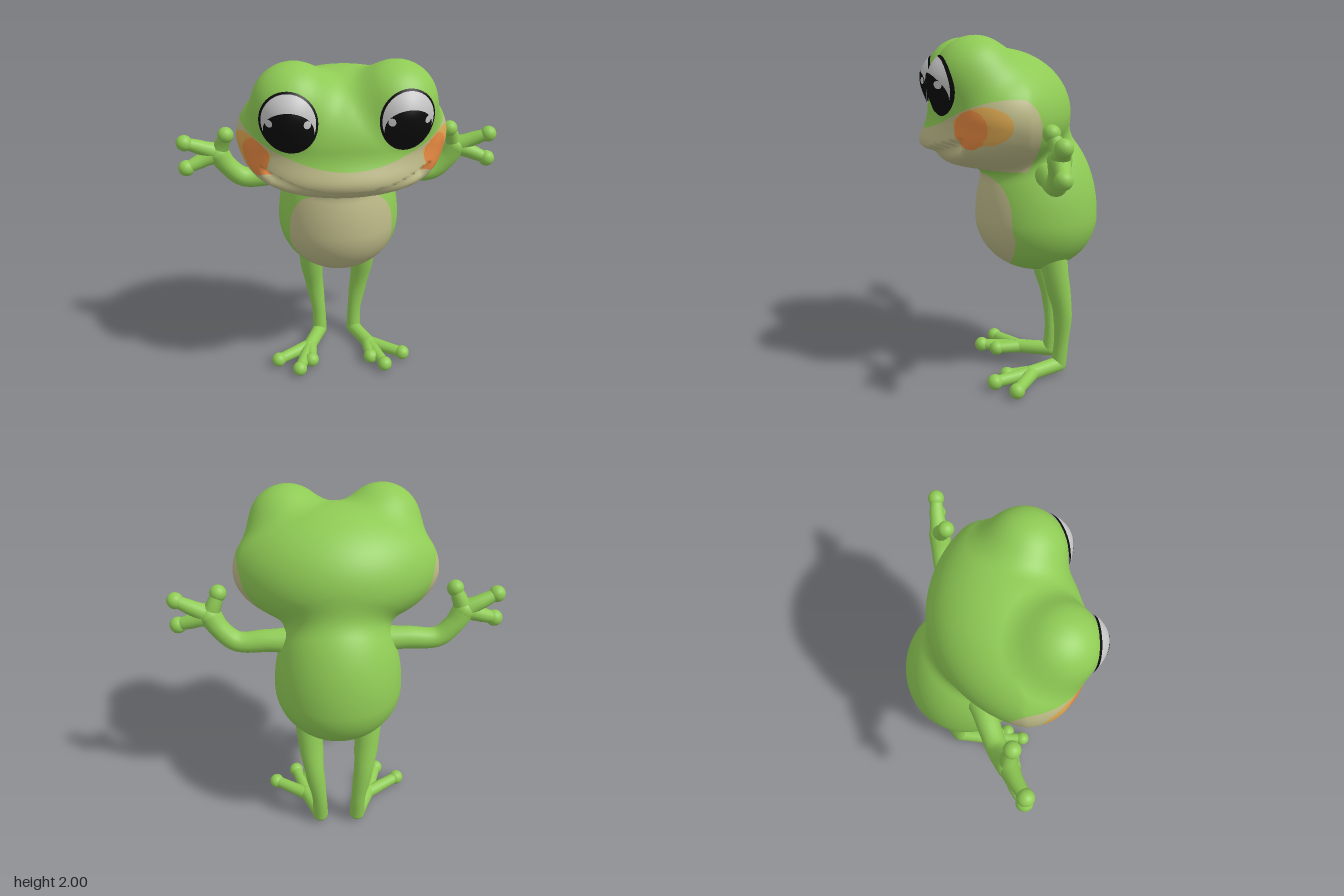
import * as THREE from 'three';

const mat = (name, color) => Object.assign(new THREE.MeshStandardMaterial({ color }), { name });
const green = mat('skin green', 0x8fcb55);
const tan = mat('belly tan', 0xbdba88);
const orange = mat('cheek orange', 0xe88a42);
const amber = mat('cheek amber', 0xdca850);
const black = mat('eye black', 0x0c0c0c);
const white = mat('eye white', 0xc6c6c6);

const V = (x, y, z) => new THREE.Vector3(x, y, z);
const sq = (a) => a * a;

// Implicit shapes: negative inside, positive outside
const ellipsoid = (x, y, z, rx, ry, rz) =>
  (Math.hypot(x / rx, y / ry, z / rz) - 1) * Math.min(rx, ry, rz);
const blend = (a, b, k) => {
  const h = Math.max(k - Math.abs(a - b), 0) / k;
  return Math.min(a, b) - h * h * k / 4;
};

// Skull, muzzle and two eye domes melted together, with the lower lip set back
function headField({ x, y, z }) {
  const dy = y - 1.58, dz = z - 0.08, ax = Math.abs(x);
  const skull = ellipsoid(x * (1 + 0.5 * Math.max(0, -z)), dy, dz,
    0.57, dy > 0 ? 0.36 : 0.31, dz > 0 ? 0.385 : 0.42);
  const muzzle = ellipsoid(x, y - 1.435, z - 0.2, 0.46, 0.145, 0.315);
  const dome = Math.hypot(ax - 0.26, y - 1.78, z - 0.23) - 0.22;
  const below = 1.395 + 0.5 * x * x - y;
  const lip = 0.022 * THREE.MathUtils.smoothstep(below, 0, 0.012)
    * (1 - THREE.MathUtils.smoothstep(below, 0.012, 0.1))
    * (1 - THREE.MathUtils.smoothstep(ax, 0.38, 0.46)) * THREE.MathUtils.smoothstep(z, 0.15, 0.25);
  return blend(blend(skull, muzzle, 0.06), dome, 0.07) + lip;
}

// Egg that narrows upward into the neck
function eggField({ x, y, z }) {
  const dy = y - 0.98;
  return ellipsoid(x, dy, z + 0.16, 0.36, dy > 0 ? 0.55 : 0.33, 0.36);
}

const frogField = (p) => blend(headField(p), eggField(p), 0.08);

// Find where a ray leaves the shape
function surfacePoint(field, origin, dir, reach) {
  let lo = 0, hi = reach;
  for (let i = 0; i < 26; i++) {
    const mid = (lo + hi) / 2;
    if (field(origin.clone().addScaledVector(dir, mid)) < 0) lo = mid; else hi = mid;
  }
  return origin.clone().addScaledVector(dir, lo);
}

function gradient(field, p) {
  const e = 0.004;
  const d = (x, y, z) => field(V(p.x + x, p.y + y, p.z + z)) - field(V(p.x - x, p.y - y, p.z - z));
  return V(d(e, 0, 0), d(0, e, 0), d(0, 0, e)).normalize();
}

// Cut polygons along f = 0, keeping the part where sign * f < 0
function clip(polys, f, sign) {
  return polys.map((poly) => {
    const out = [];
    poly.forEach((a, i) => {
      const b = poly[(i + 1) % poly.length], fa = sign * f(a), fb = sign * f(b);
      if (fa < 0) out.push(a);
      if ((fa < 0) !== (fb < 0)) out.push(a.clone().lerp(b, fa / (fa - fb)));
    });
    return out;
  }).filter((poly) => poly.length > 2);
}

// A sphere pushed out to the shape, split into one mesh per colour region
function skin(name, field, center, regions) {
  const group = new THREE.Group();
  group.name = name;
  const pos = new THREE.SphereGeometry(1, 128, 128).toNonIndexed().attributes.position;
  let polys = [];
  for (let i = 0; i < pos.count; i += 3) {
    polys.push([0, 1, 2].map((k) =>
      surfacePoint(field, center, V().fromBufferAttribute(pos, i + k), 0.95)));
  }
  for (const [part, f, material] of regions) {
    const points = [], normals = [];
    for (const poly of clip(polys, f, 1)) {
      for (let i = 1; i < poly.length - 1; i++) {
        for (const p of [poly[0], poly[i], poly[i + 1]]) {
          points.push(p.x, p.y, p.z);
          normals.push(...gradient(field, p).toArray());
        }
      }
    }
    polys = clip(polys, f, -1);
    const geo = new THREE.BufferGeometry();
    geo.setAttribute('position', new THREE.Float32BufferAttribute(points, 3));
    geo.setAttribute('normal', new THREE.Float32BufferAttribute(normals, 3));
    const mesh = new THREE.Mesh(geo, material);
    mesh.name = part;
    group.add(mesh);
  }
  return group;
}

const onFace = (x, y) => surfacePoint(headField, V(x, y, 0.1), V(0, 0, 1), 0.6);

function ball(name, p, r) {
  const mesh = new THREE.Mesh(new THREE.SphereGeometry(r, 20, 14), green);
  mesh.position.copy(p);
  mesh.name = name;
  return mesh;
}

// Tapered round limb through [x, y, z, radius] stations, with rounded ends
function limb(name, stations, side) {
  const group = new THREE.Group();
  group.name = name;
  const pts = stations.map(([x, y, z]) => V(x * side, y, z));
  const curve = new THREE.CatmullRomCurve3(pts);
  const n = 6 * (pts.length - 1), ring = 17;
  const geo = new THREE.TubeGeometry(curve, n, 1, ring - 1);
  const pos = geo.attributes.position;
  const lengths = curve.getLengths(60 * (pts.length - 1));
  const marks = pts.map((_, i) => lengths[60 * i] / lengths[lengths.length - 1]);
  for (let i = 0; i < pos.count; i++) {
    const u = Math.floor(i / ring) / n, c = curve.getPointAt(u);
    let k = 0;
    while (k < pts.length - 2 && u > marks[k + 1]) k++;
    const t = THREE.MathUtils.smoothstep(u, marks[k], marks[k + 1]);
    const r = THREE.MathUtils.lerp(stations[k][3], stations[k + 1][3], t);
    const v = V().fromBufferAttribute(pos, i).sub(c).multiplyScalar(r).add(c);
    pos.setXYZ(i, v.x, v.y, v.z);
  }
  const tube = new THREE.Mesh(geo, green);
  tube.name = name + 'Tube';
  group.add(tube);
  [0, pts.length - 1].forEach((i) => group.add(ball(name + 'End', pts[i], stations[i][3])));
  return group;
}

// Thin domed disc laid over the face; all discs of an eye share one bulge
function eyeDisc(name, side, [cx, cy, rx, ry], lift, material) {
  const geo = new THREE.RingGeometry(0.001, 1, 40, 10);
  const pos = geo.attributes.position;
  for (let i = 0; i < pos.count; i++) {
    const x = side * cx + pos.getX(i) * rx, y = cy + pos.getY(i) * ry;
    const q = sq((Math.abs(x) - 0.295) / 0.145) + sq((y - 1.745) / 0.155);
    pos.setXYZ(i, x, y, onFace(x, y).z + 0.005 + 0.03 * (1 - q) + lift);
  }
  geo.computeVertexNormals();
  const mesh = new THREE.Mesh(geo, material);
  mesh.name = name;
  return mesh;
}

export function createModel() {
  const model = new THREE.Group();
  model.name = 'frog';

  // Head and body in one skin, with cheek, muzzle and belly patches
  const cheek = (cz, cy, rz, ry) => (p) =>
    Math.max(sq((p.z - cz) / rz) + sq((p.y - cy) / ry) - 1, 0.3 - Math.abs(p.x));
  const muzzle = (p) => Math.max(
    (p.y - 1.505 - 0.6 * p.x * p.x) * 4, (1.275 - p.y) * 4,
    Math.abs(Math.min(p.z - 0.25, 0) / 0.33) ** 3 + Math.abs((p.y - 1.45) / 0.27) ** 3 - 1);
  const belly = (p) => Math.max(
    Math.abs(p.x / 0.3) ** 2.8 + Math.abs((p.y - 0.945) / 0.3) ** 2.8 - 1, (0.02 - p.z) * 4);
  model.add(skin('headAndBody', frogField, V(0, 1.3, -0.1), [
    ['cheekCentre', cheek(0.285, 1.53, 0.078, 0.1), orange],
    ['cheekRim', cheek(0.222, 1.55, 0.142, 0.097), amber],
    ['muzzlePatch', muzzle, tan],
    ['bellyPatch', belly, tan],
    ['greenSkin', () => -1, green],
  ]));

  for (const side of [1, -1]) {
    const prefix = side > 0 ? 'left' : 'right';

    // Eye
    model.add(eyeDisc(prefix + 'EyeRim', side, [0.295, 1.745, 0.145, 0.155], 0, black));
    model.add(eyeDisc(prefix + 'EyeWhite', side, [0.295, 1.748, 0.134, 0.143], 0.004, white));
    model.add(eyeDisc(prefix + 'Pupil', side, [0.295, 1.707, 0.124, 0.104], 0.008, black));
    for (const x of [0.205, 0.39]) {
      model.add(eyeDisc(prefix + 'EyeGlint', side, [x, 1.752, 0.018, 0.02], 0.012, white));
    }

    // Arm and hand
    model.add(limb(prefix + 'Arm', [[0.2, 1.26, -0.16, 0.08], [0.38, 1.258, -0.15, 0.064],
      [0.555, 1.252, -0.14, 0.058], [0.645, 1.33, -0.13, 0.056], [0.69, 1.405, -0.12, 0.062]], side));
    for (const [x, y] of [[0.64, 1.525], [0.873, 1.485], [0.875, 1.335]]) {
      model.add(limb(prefix + 'Finger',
        [[0.69, 1.41, -0.12, 0.055], [(0.69 + x) / 2, (1.41 + y) / 2, -0.11, 0.042], [x, y, -0.09, 0.033]], side));
      model.add(ball(prefix + 'Fingertip', V(x * side, y, -0.09), 0.046));
    }

    // Leg and foot
    model.add(limb(prefix + 'Leg', [[0.17, 0.78, -0.22, 0.085], [0.165, 0.6, -0.255, 0.072],
      [0.145, 0.4, -0.295, 0.057], [0.12, 0.2, -0.298, 0.044], [0.115, 0.05, -0.285, 0.046]], side));
    model.add(limb(prefix + 'Foot',
      [[0.115, 0.05, -0.285, 0.046], [0.16, 0.048, -0.18, 0.044], [0.2, 0.046, -0.09, 0.044]], side));
    for (const [x, z] of [[0.4, 0.03], [0.27, 0.135], [0.19, 0.05]]) {
      model.add(limb(prefix + 'Toe', [[0.19, 0.046, -0.11, 0.04], [x, 0.045, z, 0.034]], side));
      model.add(ball(prefix + 'Toetip', V(x * side, 0.045, z), 0.045));
    }
  }
  return model;
}
